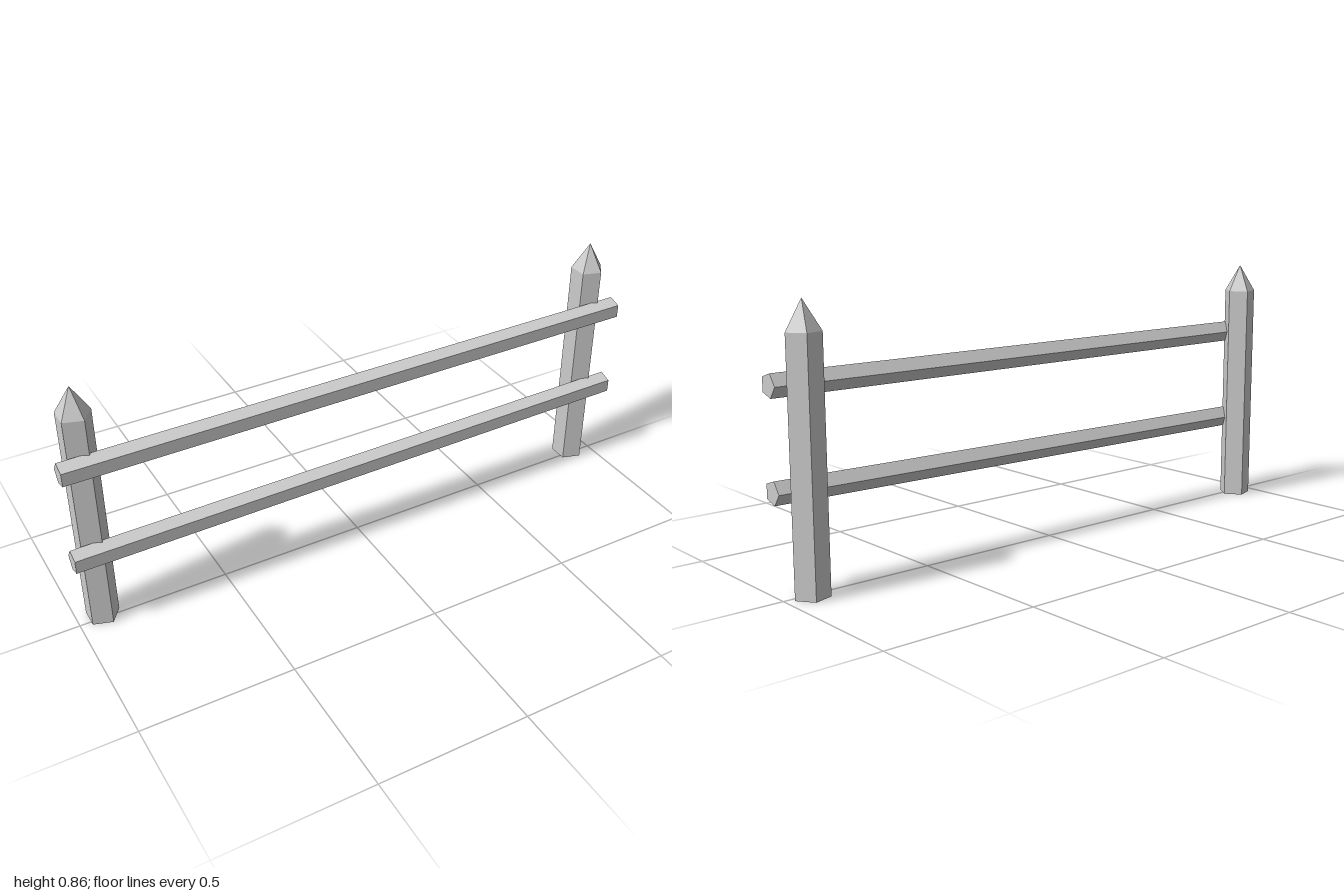
import * as THREE from 'three';

export function createModel() {
  const fence = new THREE.Group();
  fence.name = 'fence';
  const wood = new THREE.MeshStandardMaterial({ color: 0xcccccc });
  wood.name = 'plain grey';

  const add = (parent, name, geometry) => {
    const flat = geometry.toNonIndexed();
    flat.computeVertexNormals(); // faceted look
    const mesh = new THREE.Mesh(flat, wood);
    mesh.name = name;
    parent.add(mesh);
    return mesh;
  };

  // Five-sided posts with pointed tops, one corner facing +x
  const radius = 0.055, shoulder = 0.763, tip = 0.855;
  for (const [side, x] of [['right', -0.918], ['left', 0.918]]) {
    const post = new THREE.Group();
    post.name = side + 'Post';
    post.position.set(x, 0, -0.018);
    const shaft = new THREE.CylinderGeometry(radius, radius, shoulder, 5, 1, false, Math.PI / 2);
    add(post, side + 'PostShaft', shaft.translate(0, shoulder / 2, 0));
    const point = new THREE.CylinderGeometry(0, radius, tip - shoulder, 5, 1, true, Math.PI / 2);
    add(post, side + 'PostPoint', point.translate(0, (shoulder + tip) / 2, 0));
    fence.add(post);
  }

  // Five-sided rails along x, one corner facing back, each rising slightly
  for (const [name, yStart, yEnd] of [['upperRail', 0.610, 0.613], ['lowerRail', 0.288, 0.308]]) {
    const geometry = new THREE.CylinderGeometry(0.0375, 0.0375, 2, 5, 1, false, Math.PI);
    const rail = add(fence, name, geometry.rotateZ(-Math.PI / 2));
    const p = rail.geometry.attributes.position;
    for (let i = 0; i < p.count; i++) {
      p.setY(i, p.getY(i) + THREE.MathUtils.lerp(yStart, yEnd, (p.getX(i) + 1) / 2));
    }
    rail.geometry.computeVertexNormals();
    rail.position.z = 0.038;
  }

  return fence;
}
